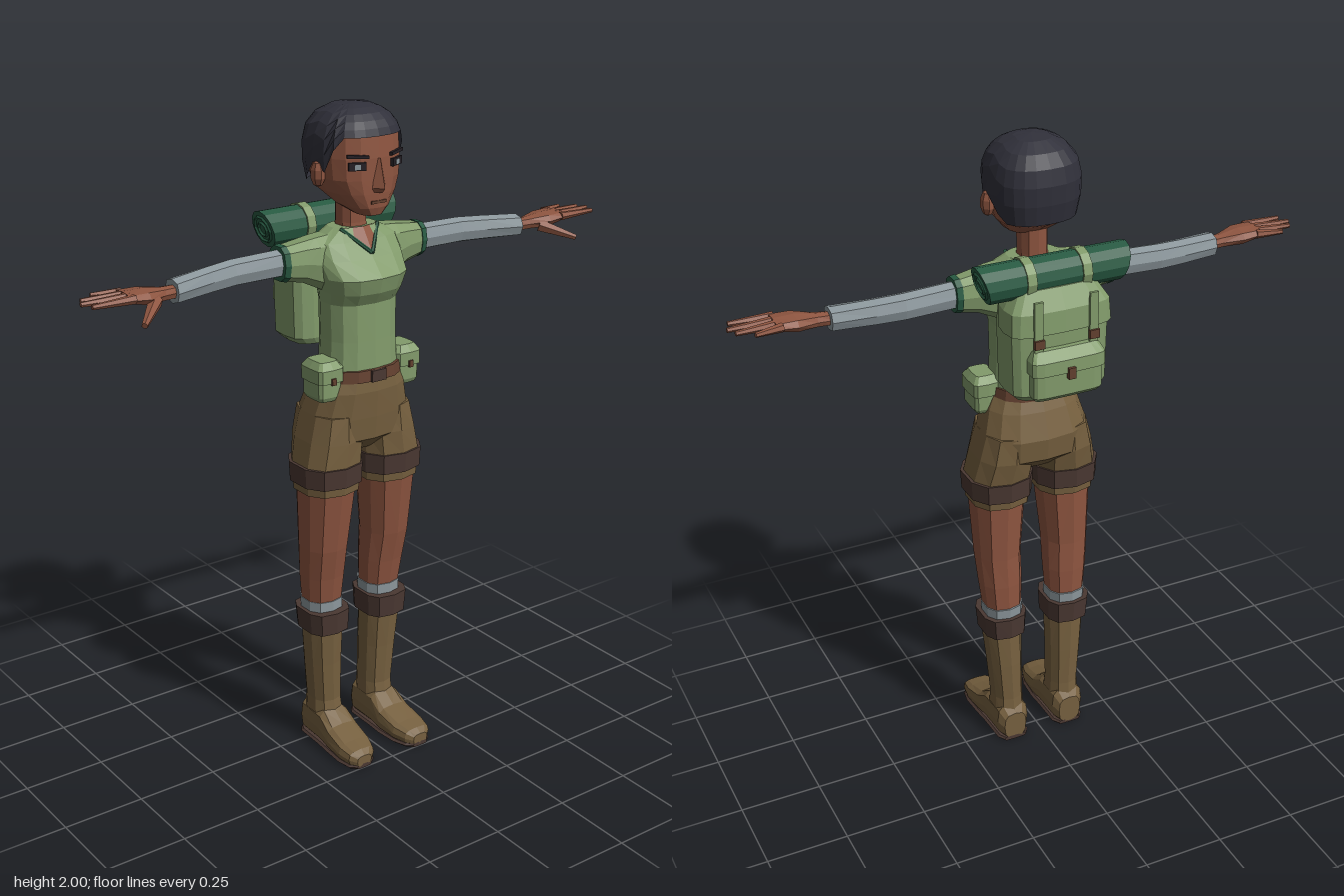
import * as THREE from 'three';

const mat = (name, color, side = THREE.FrontSide) => {
  const m = new THREE.MeshStandardMaterial({ color, side });
  m.name = name;
  return m;
};

// Flat-shaded loft. Each ring is [t, a0, a1, b0, b1]: position along the axis, then two extents.
// axis x: a = y, b = z; axis y: a = x, b = z; axis z: a = x, b = y.
function loft(axis, rings, sides = 12, p = 2.5) {
  const place = { x: (t, a, b) => [t, a, b], y: (t, a, b) => [a, t, b], z: (t, a, b) => [a, b, t] }[axis];
  const bend = (v) => Math.sign(v) * Math.abs(v) ** (2 / p);
  const pt = (r, j) => {
    const [t, a0, a1, b0, b1] = r, q = ((j % sides) / sides) * Math.PI * 2 + Math.PI / 2;
    return place(t, (a0 + a1) / 2 + ((a1 - a0) / 2) * bend(Math.cos(q)), (b0 + b1) / 2 + ((b1 - b0) / 2) * bend(Math.sin(q)));
  };
  const mid = (r) => place(r[0], (r[1] + r[2]) / 2, (r[3] + r[4]) / 2);
  const pos = [];
  const tri = (a, b, c) => (axis === 'y' ? pos.push(...a, ...c, ...b) : pos.push(...a, ...b, ...c));
  const last = rings[rings.length - 1];
  for (let j = 0; j < sides; j++) {
    for (let i = 0; i + 1 < rings.length; i++) {
      const a = pt(rings[i], j), b = pt(rings[i], j + 1), c = pt(rings[i + 1], j + 1), d = pt(rings[i + 1], j);
      tri(a, b, c);
      tri(a, c, d);
    }
    tri(mid(rings[0]), pt(rings[0], j + 1), pt(rings[0], j));
    tri(mid(last), pt(last, j), pt(last, j + 1));
  }
  return fromTriangles(pos);
}

function fromTriangles(pos) {
  const g = new THREE.BufferGeometry();
  g.setAttribute('position', new THREE.Float32BufferAttribute(pos, 3));
  g.computeVertexNormals();
  return g;
}

function flat(g) {
  const f = g.index ? g.toNonIndexed() : g;
  f.computeVertexNormals();
  return f;
}

// Copy reflected across x = 0, with the corner order reversed
function mirrored(g) {
  const p = g.attributes.position, pos = [];
  for (let i = 0; i < p.count; i += 3)
    for (const k of [i, i + 2, i + 1]) pos.push(-p.getX(k), p.getY(k), p.getZ(k));
  return fromTriangles(pos);
}

const box = (w, h, d, x, y, z, ry = 0, rz = 0) =>
  flat(new THREE.BoxGeometry(w, h, d).rotateZ(rz).rotateY(ry).translate(x, y, z));

// Tapered rod between two points
function rod(a, b, r0, r1) {
  const A = new THREE.Vector3(...a), B = new THREE.Vector3(...b), d = B.clone().sub(A);
  const g = new THREE.CylinderGeometry(r1, r0, d.length(), 6);
  g.applyQuaternion(new THREE.Quaternion().setFromUnitVectors(new THREE.Vector3(0, 1, 0), d.normalize()));
  return flat(g.translate(...A.add(B).multiplyScalar(0.5).toArray()));
}

// Short hair: a cap whose lower edge follows the hairline, sideburns and nape
function hairCap() {
  const n = 24, rows = 6, pos = [];
  const line = (q) => {
    const d = Math.abs(q > Math.PI ? q - 2 * Math.PI : q) * 180 / Math.PI;
    return d < 50 ? 1.92 : d < 65 ? 1.885 : d < 80 ? 1.82 : d < 100 ? 1.845 : d < 115 ? 1.8 : 1.775;
  };
  const bend = (v) => Math.sign(v) * Math.abs(v) ** 0.8;
  const pt = (i, j) => {
    const q = ((j % n) / n) * Math.PI * 2, y0 = line(q);
    const y = y0 + (2 - y0) * Math.sin((i / rows) * Math.PI / 2);
    const u = Math.min(1, Math.abs(y - 1.87) / 0.13);
    const s = y > 1.87 ? Math.max(0, 1 - u ** 2.6) ** (1 / 2.2) : 1 - 0.18 * u * u;
    return [0.133 * s * bend(Math.sin(q)), y, 0.031 + 0.134 * s * bend(Math.cos(q))];
  };
  for (let i = 0; i < rows; i++)
    for (let j = 0; j < n; j++) {
      const a = pt(i, j), b = pt(i, j + 1), c = pt(i + 1, j + 1), d = pt(i + 1, j);
      pos.push(...a, ...b, ...c);
      if (i < rows - 1) pos.push(...a, ...c, ...d);
    }
  return fromTriangles(pos);
}

export function createModel() {
  const model = new THREE.Group();
  model.name = 'hiker';
  const skin = mat('skin', 0x8e5540), green = mat('sage green', 0x829b6b);
  const pine = mat('pine green', 0x285a42, THREE.DoubleSide), brown = mat('khaki brown', 0x76603f);
  const dark = mat('dark brown', 0x4a3832), grey = mat('grey cloth', 0x8c979c);
  const hair = mat('hair', 0x30303a, THREE.DoubleSide), leather = mat('leather', 0x63402f);
  const ink = mat('eye dark', 0x241f24);

  const add = (name, g, m) => {
    const mesh = new THREE.Mesh(g, m);
    mesh.name = name;
    model.add(mesh);
  };
  const pair = (name, g, m) => {
    add(name + 'Left', g, m);
    add(name + 'Right', mirrored(g), m);
  };

  // Head and face
  add('head', loft('y', [[1.697, -0.035, 0.035, 0.06, 0.15], [1.72, -0.065, 0.065, 0, 0.158], [1.76, -0.1, 0.1, -0.06, 0.16],
    [1.8, -0.118, 0.118, -0.08, 0.16], [1.86, -0.122, 0.122, -0.09, 0.16], [1.92, -0.119, 0.119, -0.085, 0.155],
    [1.965, -0.08, 0.08, -0.045, 0.1]], 16), skin);
  add('hair', hairCap(), hair);
  add('nose', loft('y', [[1.765, -0.02, 0.02, 0.13, 0.175], [1.778, -0.022, 0.022, 0.13, 0.187], [1.86, -0.009, 0.009, 0.14, 0.165]], 4, 2), skin);
  add('mouth', box(0.05, 0.008, 0.008, 0, 1.737, 0.157), leather);
  pair('ear', flat(new THREE.SphereGeometry(1, 7, 5).scale(0.02, 0.038, 0.026).translate(0.127, 1.812, 0.045)), skin);
  pair('eye', box(0.05, 0.022, 0.009, 0.067, 1.842, 0.149, 0.42), ink);
  pair('iris', box(0.016, 0.014, 0.009, 0.067, 1.841, 0.1505, 0.42), grey);
  pair('eyebrow', box(0.062, 0.009, 0.009, 0.066, 1.869, 0.15, 0.42, 0.06), ink);
  add('neck', loft('y', [[1.6, -0.05, 0.05, -0.02, 0.075], [1.66, -0.042, 0.042, -0.02, 0.07], [1.75, -0.042, 0.042, -0.02, 0.072]], 10), skin);

  // Shirt
  add('shirt', loft('y', [[1.235, -0.118, 0.118, -0.03, 0.15], [1.33, -0.113, 0.113, -0.03, 0.148], [1.44, -0.115, 0.115, -0.03, 0.146],
    [1.475, -0.122, 0.122, -0.035, 0.168], [1.52, -0.135, 0.135, -0.035, 0.18], [1.57, -0.145, 0.145, -0.035, 0.135],
    [1.615, -0.142, 0.142, -0.03, 0.1], [1.65, -0.075, 0.075, -0.02, 0.08]], 14), green);
  const V = [[-0.065, 1.65, 0.065], [0, 1.585, 0.13], [0.065, 1.65, 0.065], [0, 1.652, 0.085]];
  add('openNeckline', fromTriangles([...V[0], ...V[1], ...V[3], ...V[3], ...V[1], ...V[2]]), skin);
  pair('collarTrim', rod(V[1], V[2], 0.006, 0.006), pine);
  pair('sleeve', loft('x', [[0.09, 1.46, 1.64, -0.03, 0.09], [0.14, 1.485, 1.635, -0.028, 0.085], [0.18, 1.505, 1.628, -0.025, 0.075],
    [0.24, 1.518, 1.619, -0.02, 0.064]], 10), green);
  pair('sleeveTrim', loft('x', [[0.232, 1.514, 1.623, -0.024, 0.068], [0.25, 1.518, 1.621, -0.022, 0.065]], 10), pine);

  // Arms and hands
  pair('forearmSleeve', loft('x', [[0.22, 1.53, 1.61, -0.012, 0.055], [0.4, 1.528, 1.605, -0.02, 0.05], [0.48, 1.526, 1.6, -0.01, 0.06],
    [0.605, 1.524, 1.592, 0.01, 0.085]], 8), grey);
  pair('palm', loft('x', [[0.59, 1.538, 1.576, 0.03, 0.068], [0.64, 1.54, 1.578, 0.03, 0.078], [0.7, 1.543, 1.587, 0.01, 0.106],
    [0.76, 1.558, 1.586, 0.008, 0.108]], 8), skin);
  const fingers = [[0.018, 0.825, 0], [0.044, 0.87, 0.032], [0.07, 0.885, 0.062], [0.097, 0.872, 0.1]];
  for (const [z0, x1, z1] of fingers) pair('finger', rod([0.745, 1.573, z0], [x1, 1.574, z1], 0.0135, 0.007), skin);
  pair('thumb', rod([0.675, 1.552, 0.08], [0.755, 1.518, 0.16], 0.021, 0.009), skin);

  // Shorts and belt
  add('shortsSeat', loft('y', [[0.985, -0.09, 0.09, -0.03, 0.1], [1.03, -0.165, 0.165, -0.08, 0.15], [1.1, -0.168, 0.168, -0.087, 0.157],
    [1.18, -0.145, 0.145, -0.06, 0.162], [1.225, -0.122, 0.122, -0.04, 0.157]], 14), brown);
  pair('shortsLeg', loft('y', [[0.87, 0.014, 0.2, -0.05, 0.145], [0.95, 0.01, 0.205, -0.055, 0.152], [1.03, 0.005, 0.187, -0.072, 0.152],
    [1.11, 0.02, 0.165, -0.07, 0.145]], 10), brown);
  pair('shortsCuff', loft('y', [[0.897, 0.006, 0.21, -0.06, 0.155], [0.958, 0.004, 0.213, -0.062, 0.158]], 10), dark);
  add('belt', loft('y', [[1.212, -0.127, 0.127, -0.046, 0.164], [1.246, -0.122, 0.122, -0.04, 0.16]], 14), leather);
  add('beltBuckle', box(0.05, 0.034, 0.009, 0, 1.229, 0.164), dark);
  pair('pouch', loft('y', [[1.165, 0.105, 0.172, 0.035, 0.122], [1.178, 0.097, 0.18, 0.028, 0.128], [1.25, 0.097, 0.18, 0.028, 0.128]], 12, 5), green);
  pair('pouchFlap', loft('y', [[1.222, 0.093, 0.185, 0.022, 0.135], [1.262, 0.093, 0.185, 0.022, 0.135], [1.283, 0.108, 0.17, 0.04, 0.118]], 12, 5), green);
  pair('pouchButton', box(0.014, 0.02, 0.009, 0.139, 1.228, 0.136), leather);

  // Legs, socks and boots
  pair('leg', loft('y', [[0.48, 0.05, 0.166, -0.036, 0.08], [0.58, 0.045, 0.176, -0.038, 0.095], [0.68, 0.045, 0.183, -0.036, 0.115],
    [0.9, 0.025, 0.193, -0.04, 0.142]], 10), skin);
  pair('sock', loft('y', [[0.44, 0.048, 0.168, -0.04, 0.086], [0.5, 0.046, 0.17, -0.042, 0.086]], 10), grey);
  pair('bootCuff', loft('y', [[0.398, 0.04, 0.175, -0.05, 0.106], [0.468, 0.037, 0.181, -0.054, 0.11]], 10, 3), dark);
  pair('bootShaft', loft('y', [[0.06, 0.045, 0.15, -0.048, 0.09], [0.15, 0.05, 0.146, -0.04, 0.074], [0.28, 0.05, 0.157, -0.04, 0.08],
    [0.42, 0.048, 0.17, -0.036, 0.09]], 10), brown);
  const foot = [[-0.052, 0.06, 0.135, 0.1], [-0.03, 0.045, 0.15, 0.13], [0.07, 0.043, 0.154, 0.125], [0.12, 0.04, 0.159, 0.088],
    [0.19, 0.045, 0.163, 0.066], [0.232, 0.06, 0.155, 0.056], [0.25, 0.082, 0.135, 0.042]];
  pair('bootFoot', loft('z', foot.map(([z, a, b, h]) => [z, a, b, 0.006, h]), 12, 3), brown);
  pair('bootSole', loft('z', foot.map(([z, a, b]) => [z, a, b, 0, 0.014]), 8, 5), dark);

  // Backpack
  add('backpack', loft('y', [[1.288, -0.13, 0.13, -0.17, -0.03], [1.308, -0.15, 0.15, -0.184, -0.022], [1.5, -0.155, 0.155, -0.184, -0.022],
    [1.57, -0.148, 0.148, -0.178, -0.026], [1.61, -0.12, 0.12, -0.155, -0.04]], 16, 4), green);
  add('backpackLid', loft('y', [[1.495, -0.16, 0.16, -0.193, -0.05], [1.56, -0.156, 0.156, -0.188, -0.045], [1.617, -0.12, 0.12, -0.155, -0.05]], 16, 4), green);
  add('backpackPocket', loft('y', [[1.303, -0.1, 0.1, -0.21, -0.165], [1.315, -0.107, 0.107, -0.22, -0.16], [1.42, -0.107, 0.107, -0.22, -0.16]], 14, 5), green);
  add('pocketFlap', loft('y', [[1.385, -0.114, 0.114, -0.228, -0.16], [1.425, -0.114, 0.114, -0.226, -0.16], [1.452, -0.1, 0.1, -0.2, -0.16]], 14, 5), green);
  add('pocketBuckle', box(0.022, 0.034, 0.014, 0, 1.385, -0.229), leather);
  pair('packStrap', box(0.026, 0.15, 0.009, 0.085, 1.525, -0.193), green);
  pair('packBuckle', box(0.03, 0.026, 0.012, 0.085, 1.475, -0.198), leather);

  // Bedroll with flared ends, and the loops that hold it
  const roll = new THREE.CylinderGeometry(0.055, 0.055, 0.43, 12).rotateZ(Math.PI / 2);
  const rp = roll.attributes.position;
  for (let i = 0; i < rp.count; i++) rp.setX(i, rp.getX(i) * (1 + 1.3 * rp.getY(i)));
  add('bedroll', flat(roll.translate(0, 1.637, -0.1)), pine);
  pair('bedrollLoop', flat(new THREE.CylinderGeometry(0.06, 0.06, 0.028, 12).rotateZ(Math.PI / 2).translate(0.085, 1.637, -0.1)), green);
  for (const r of [0.02, 0.038])
    pair('bedrollFold', flat(new THREE.TorusGeometry(r, 0.005, 4, 10).rotateY(Math.PI / 2).rotateZ(-0.27).translate(0.216, 1.637, -0.1)), pine);

  return model;
}
